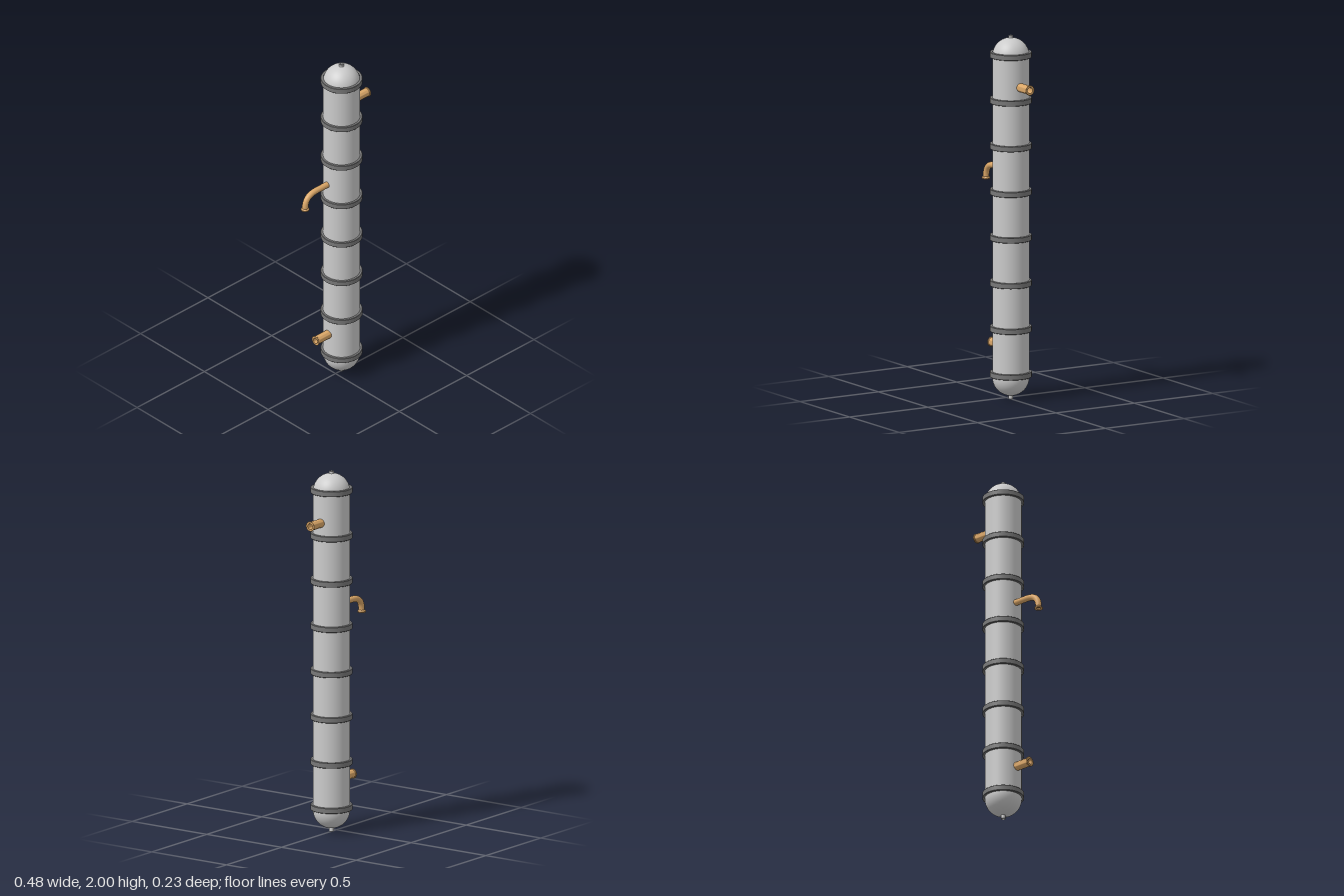
import * as THREE from 'three';
import { toCreasedNormals } from 'three/addons/utils/BufferGeometryUtils.js';

const CX = 0.045, R = 0.1;
const grey = new THREE.MeshStandardMaterial({ color: 0xcccccc });
const dark = new THREE.MeshStandardMaterial({ color: 0x787878 });
const tan = new THREE.MeshStandardMaterial({ color: 0xdba768, side: THREE.DoubleSide });

function lathe(points, segments) {
  const geo = new THREE.LatheGeometry(points.map(([x, y]) => new THREE.Vector2(x, y)), segments);
  return toCreasedNormals(geo, 0.6);
}

function add(group, name, geo, mat, x = 0, y = 0, z = 0) {
  const mesh = new THREE.Mesh(geo, mat);
  mesh.name = name;
  mesh.position.set(x, y, z);
  group.add(mesh);
  return mesh;
}

// Hollow pipe along +y with a small lip at its open end
function pipeGeometry(r, inner, length) {
  return lathe([
    [r, 0], [r, length - 0.009], [r + 0.003, length - 0.006], [r + 0.003, length - 0.001],
    [r + 0.002, length], [inner, length], [inner, 0],
  ], 32);
}

export function createModel() {
  const model = new THREE.Group();
  model.name = 'column';

  // Tank with rounded ends
  const low = 0.12, high = 1.887, steps = 16;
  const profile = [];
  for (let i = 0; i <= steps; i++) {
    const a = (i / steps) * Math.PI / 2;
    profile.push(new THREE.Vector2(R * Math.sin(a), low - R * Math.cos(a)));
  }
  for (let i = 0; i <= steps; i++) {
    const a = (i / steps) * Math.PI / 2;
    profile.push(new THREE.Vector2(R * Math.cos(a), high + R * Math.sin(a)));
  }
  add(model, 'tank', new THREE.LatheGeometry(profile, 64), grey, CX);

  // Clamping bands
  const band = lathe([
    [0.098, -0.015], [0.111, -0.015], [0.113, -0.013], [0.113, 0.013], [0.111, 0.015], [0.098, 0.015],
  ], 64);
  for (let i = 0; i < 8; i++) add(model, 'band' + (i + 1), band, dark, CX, 0.138 + i * 0.251);

  // Small hollow nipples on both ends
  const nipple = lathe([[0.013, -0.01], [0.013, 0.018], [0.011, 0.02], [0.009, 0.02], [0.009, 0.008], [0, 0.008]], 24);
  add(model, 'topNipple', nipple, grey, CX, 1.98);
  add(model, 'bottomNipple', nipple, grey, CX, 0.02).rotation.x = Math.PI;

  // Straight side pipes: upper on the left, lower on the right
  const pipe = pipeGeometry(0.024, 0.016, 0.105);
  add(model, 'upperPipe', pipe, tan, 0.135, 1.728).rotation.z = -Math.PI / 2;
  add(model, 'lowerPipe', pipe, tan, -0.045, 0.283).rotation.z = Math.PI / 2;

  // Curved spout with a flared mouth
  const spout = new THREE.Group();
  spout.name = 'spout';
  spout.position.z = -0.008;
  const path = new THREE.CurvePath();
  const v = (x, y) => new THREE.Vector3(x, y, 0);
  path.add(new THREE.LineCurve3(v(-0.04, 1.254), v(-0.13, 1.254)));
  path.add(new THREE.CubicBezierCurve3(v(-0.13, 1.254), v(-0.19, 1.254), v(-0.218, 1.232), v(-0.218, 1.175)));
  add(spout, 'spoutTube', new THREE.TubeGeometry(path, 48, 0.017, 24), tan);
  add(spout, 'spoutMouth', lathe([
    [0.011, 0.03], [0.011, 0], [0.022, 0], [0.023, 0.002], [0.023, 0.006], [0.017, 0.014],
  ], 32), tan, -0.218, 1.166);
  model.add(spout);

  return model;
}
